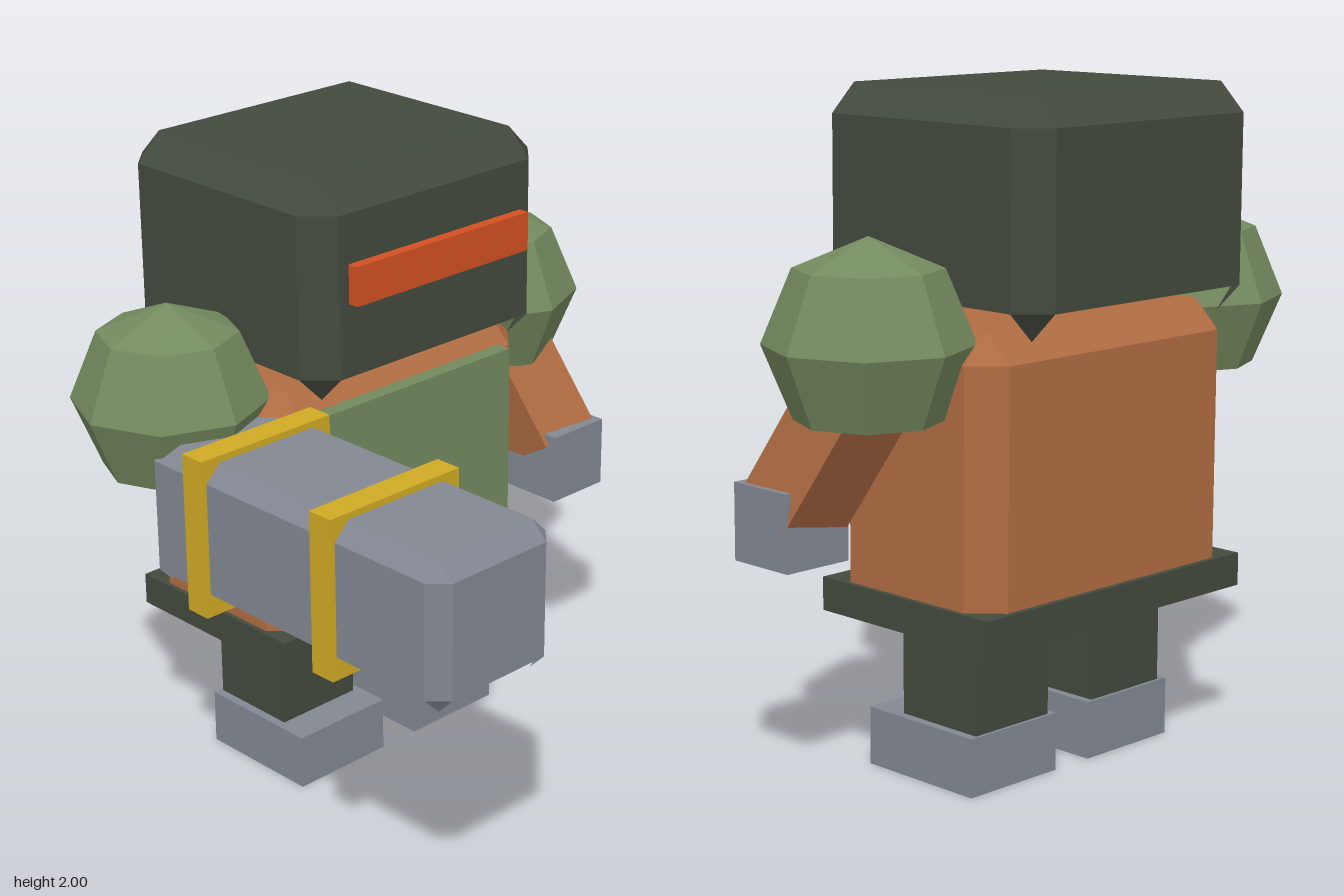
import * as THREE from 'three';
import { ConvexGeometry } from 'three/addons/geometries/ConvexGeometry.js';

const material = (name, color) => {
  const m = new THREE.MeshStandardMaterial({ color, side: THREE.DoubleSide, flatShading: true });
  m.name = name;
  return m;
};

// Remove the faces that look straight down, leaving the shell open underneath
function openUnderside(source) {
  const geo = source.index ? source.toNonIndexed() : source;
  const pos = geo.attributes.position;
  const tri = new THREE.Triangle();
  const normal = new THREE.Vector3();
  const points = [];
  for (let i = 0; i < pos.count; i += 3) {
    tri.setFromAttributeAndIndices(pos, i, i + 1, i + 2);
    if (tri.getArea() < 1e-8) continue;
    tri.getNormal(normal);
    if (normal.y > -0.65) points.push(tri.a.clone(), tri.b.clone(), tri.c.clone());
  }
  const out = new THREE.BufferGeometry().setFromPoints(points);
  out.computeVertexNormals();
  return out;
}

// Box with every edge cut at 45 degrees
function chamferedBox(w, h, d, c) {
  const points = [];
  for (const x of [-w / 2, w / 2])
    for (const y of [-h / 2, h / 2])
      for (const z of [-d / 2, d / 2]) {
        const [xi, yi, zi] = [x - Math.sign(x) * c, y - Math.sign(y) * c, z - Math.sign(z) * c];
        points.push(
          new THREE.Vector3(x, yi, zi),
          new THREE.Vector3(xi, y, zi),
          new THREE.Vector3(xi, yi, z)
        );
      }
  return new ConvexGeometry(points);
}

export function createModel() {
  const model = new THREE.Group();
  model.name = 'armouredFigure';

  const dark = material('darkOlive', 0x434a3d);
  const rust = material('rustBrown', 0xb06d43);
  const green = material('mossGreen', 0x748a5f);
  const steel = material('steelGrey', 0x828791);
  const yellow = material('bandYellow', 0xd0aa24);
  const orange = material('visorOrange', 0xd25022);

  const add = (name, geometry, mat) => {
    const mesh = new THREE.Mesh(openUnderside(geometry), mat);
    mesh.name = name;
    model.add(mesh);
    return mesh;
  };

  // Box given by its [min, max] along each axis, chamfered when c is set
  const block = (name, mat, [x0, x1], [y0, y1], [z0, z1], c = 0) => {
    const size = [x1 - x0, y1 - y0, z1 - z0];
    const geo = c ? chamferedBox(...size, c) : new THREE.BoxGeometry(...size);
    add(name, geo, mat).position.set((x0 + x1) / 2, (y0 + y1) / 2, (z0 + z1) / 2);
  };

  // Arm as a square bar hung from its top point
  const arm = (name, top, length, pitch, roll) => {
    const geo = new THREE.BoxGeometry(0.225, length, 0.215).translate(0, -length / 2, 0);
    const mesh = add(name, geo, rust);
    mesh.position.set(...top);
    mesh.rotation.set(pitch, 0, roll, 'ZXY');
  };

  // Head and visor
  block('head', dark, [-0.473, 0.473], [1.335, 2], [-0.872, 0], 0.085);
  block('visor', orange, [-0.352, 0.352], [1.645, 1.765], [-0.03, 0.035]);

  // Torso, chest plate and belt
  block('torso', rust, [-0.525, 0.525], [0.485, 1.357], [-0.753, -0.12], 0.087);
  block('chestPlate', green, [-0.4, 0.4], [0.69, 1.28], [-0.16, -0.08]);
  block('belt', dark, [-0.54, 0.54], [0.48, 0.58], [-0.77, -0.105]);

  // Legs, boots and shoulders on both sides
  for (const [side, s] of [['left', 1], ['right', -1]]) {
    const span = (a, b) => (s > 0 ? [a, b] : [-b, -a]);
    block(side + 'Leg', dark, span(0.095, 0.392), [0.12, 0.53], [-0.585, -0.288]);
    block(side + 'Boot', steel, span(0.07, 0.42), [0, 0.175], [-0.595, -0.175]);
    add(side + 'Shoulder', new THREE.SphereGeometry(0.296, 8, 4), green)
      .position.set(s * 0.665, 1.32, -0.44);
  }

  // Left arm with its hand; the right arm reaches into the cannon
  arm('leftArm', [0.652, 1.31, -0.49], 0.565, -0.54, 0.16);
  block('leftHand', steel, [0.62, 0.848], [0.68, 0.907], [-0.303, -0.08]);
  arm('rightArm', [-0.66, 1.32, -0.44], 0.42, -0.84, 0);

  // Arm cannon and its two bands
  block('cannon', steel, [-0.862, -0.405], [0.83, 1.28], [-0.33, 0.875], 0.052);
  for (const z of [-0.09, 0.44])
    block('cannonBand', yellow, [-0.877, -0.392], [0.81, 1.3], [z - 0.042, z + 0.042]);

  return model;
}
